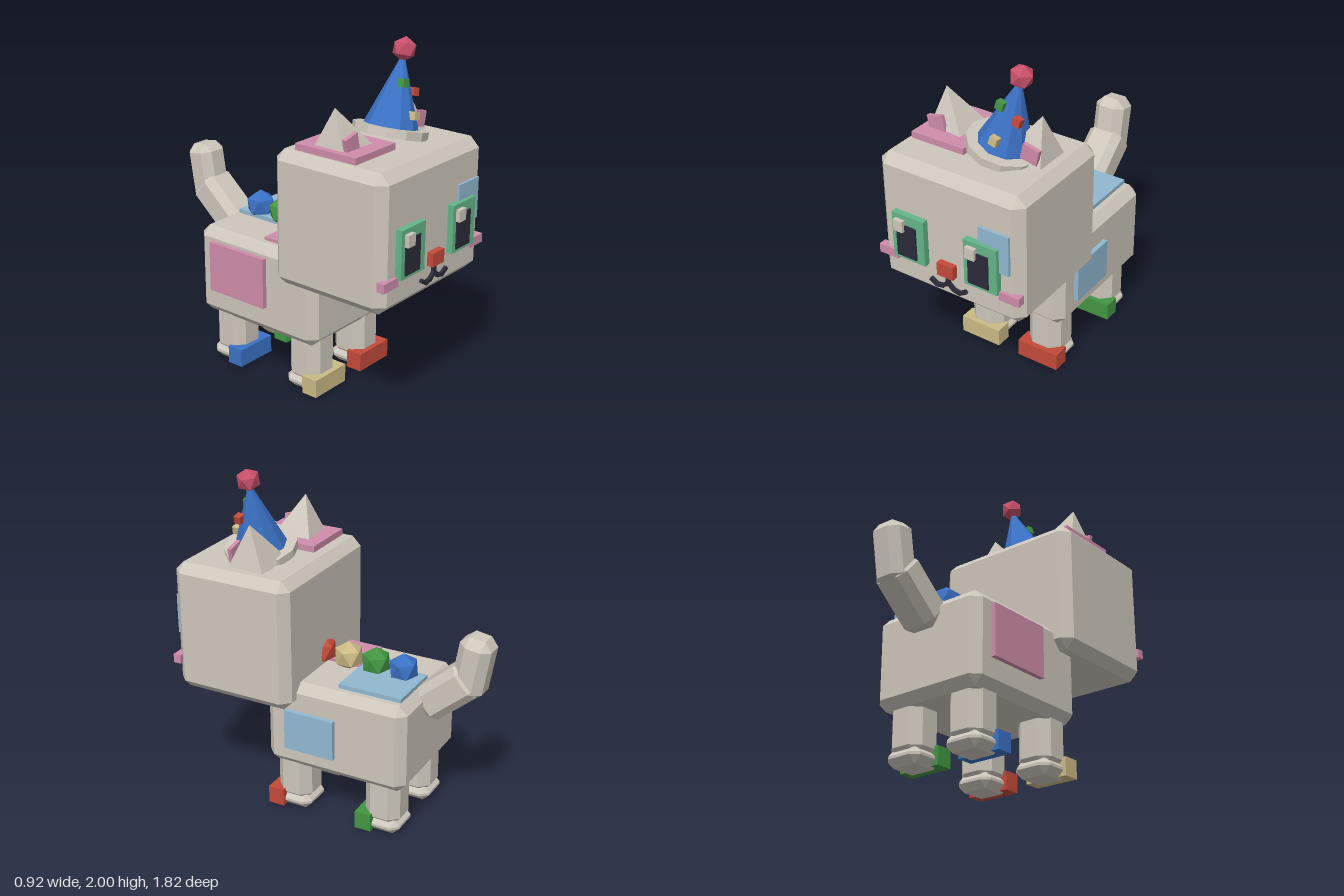
import * as THREE from 'three';
import { ConvexGeometry } from 'three/addons/geometries/ConvexGeometry.js';

function material(name, color) {
  const m = new THREE.MeshStandardMaterial({ color });
  m.name = name;
  m.flatShading = true;
  return m;
}

// Box with flat 45 degree chamfers on all edges
function chamferBox(w, h, d, c) {
  const half = [w / 2, h / 2, d / 2];
  const points = [];
  for (const sx of [-1, 1]) for (const sy of [-1, 1]) for (const sz of [-1, 1]) {
    for (let axis = 0; axis < 3; axis++) {
      const p = half.map((v, i) => (i === axis ? v : v - c));
      points.push(new THREE.Vector3(p[0] * sx, p[1] * sy, p[2] * sz));
    }
  }
  return new ConvexGeometry(points);
}

// Icosahedron standing on a vertex
function bead(r) {
  return new THREE.IcosahedronGeometry(r, 0).rotateZ(-0.5536);
}

export function createModel() {
  const root = new THREE.Group();
  root.name = 'partyCat';

  const fur = material('warm grey', 0xcdc6bb);
  const blue = material('blue', 0x3b72c6);
  const green = material('green', 0x439642);
  const tan = material('tan', 0xcbba85);
  const red = material('red', 0xc44a3a);
  const rose = material('rose', 0xc8506a);
  const pink = material('pink', 0xcf8caa);
  const sky = material('sky blue', 0x90b8d0);
  const mint = material('mint', 0x63b688);
  const dark = material('dark', 0x2b2b3b);

  function add(name, geometry, mat, x, y, z, rz = 0, parent = root) {
    const mesh = new THREE.Mesh(geometry, mat);
    mesh.name = name;
    mesh.position.set(x, y, z);
    mesh.rotation.z = rz;
    parent.add(mesh);
    return mesh;
  }
  // Plain box given by its limits
  function slab(name, mat, x0, x1, y0, y1, z0, z1) {
    return add(name, new THREE.BoxGeometry(x1 - x0, y1 - y0, z1 - z0), mat,
      (x0 + x1) / 2, (y0 + y1) / 2, (z0 + z1) / 2);
  }

  // Body and head
  add('body', chamferBox(0.715, 0.535, 0.87, 0.052), fur, 0, 0.576, -0.115);
  add('head', chamferBox(0.916, 0.77, 0.737, 0.054), fur, 0, 1.085, 0.48);

  // Legs with paws and coloured toes
  const legs = [
    ['frontLeft', 0.203, 0.184, red], ['frontRight', -0.203, 0.184, tan],
    ['backLeft', 0.203, -0.386, green], ['backRight', -0.203, -0.386, blue],
  ];
  for (const [name, x, z, mat] of legs) {
    add(name + 'Leg', chamferBox(0.218, 0.36, 0.218, 0.054), fur, x, 0.225, z);
    add(name + 'Paw', chamferBox(0.23, 0.1, 0.23, 0.042), fur, x, 0.05, z);
    add(name + 'Toes', new THREE.BoxGeometry(0.265, 0.107, 0.1), mat, x, 0.064, z + 0.09);
  }

  // Tail in two bent segments
  const tailBase = add('tailBase', chamferBox(0.22, 0.376, 0.212, 0.045), fur, 0, 0.849, -0.66);
  tailBase.rotation.x = -0.86;
  const tailTip = add('tailTip', chamferBox(0.192, 0.36, 0.186, 0.048), fur, 0, 1.024, -0.796);
  tailTip.rotation.x = -0.165;

  // Coat patches
  slab('backPatchBlue', sky, -0.06, 0.275, 0.83, 0.868, -0.495, -0.11);
  slab('backPatchPink', pink, -0.28, -0.005, 0.83, 0.862, -0.1, 0.2);
  slab('leftPatch', sky, 0.34, 0.385, 0.44, 0.68, -0.13, 0.18);
  slab('rightPatch', pink, -0.386, -0.34, 0.475, 0.775, -0.43, -0.02);
  slab('crownPatch', pink, -0.39, -0.052, 1.45, 1.507, 0.225, 0.625);
  slab('browPatch', sky, 0.207, 0.395, 1.02, 1.255, 0.835, 0.864);

  // Beads along the back
  [blue, green, tan, red].forEach((mat, i) => {
    add('backBead', bead(0.09), mat, 0, 0.91, -0.376 + i * 0.1735);
  });

  // Eyes; the offset keeps both glints on the same side
  for (const [side, x, px] of [['right', -0.234, -0.244], ['left', 0.231, 0.22]]) {
    slab(side + 'Iris', mint, x - 0.104, x + 0.104, 0.89, 1.165, 0.83, 0.885);
    slab(side + 'Pupil', dark, px - 0.064, px + 0.064, 0.91, 1.108, 0.86, 0.893);
    slab(side + 'Glint', fur, px - 0.068, px - 0.008, 1.07, 1.138, 0.87, 0.91);
  }

  // Nose and mouth
  slab('nose', red, -0.052, 0.052, 0.872, 0.95, 0.83, 0.886);
  slab('lipLine', dark, -0.011, 0.011, 0.805, 0.875, 0.835, 0.868);
  const smile = [[0, 0.825], [0.035, 0.793], [0.075, 0.785], [0.112, 0.808]];
  for (const s of [-1, 1]) {
    for (let i = 0; i < 3; i++) {
      const [ax, ay] = smile[i], [bx, by] = smile[i + 1];
      const length = Math.hypot(bx - ax, by - ay) + 0.012;
      add('smile', new THREE.BoxGeometry(length, 0.022, 0.033), dark,
        s * (ax + bx) / 2, (ay + by) / 2, 0.851, s * Math.atan2(by - ay, bx - ax));
    }
  }

  // Cheeks and ears
  for (const [side, s] of [['left', 1], ['right', -1]]) {
    add(side + 'Cheek', new THREE.BoxGeometry(0.125, 0.052, 0.047), pink, s * 0.394, 0.88, 0.843);
    const ear = new THREE.ConeGeometry(0.168, 0.245, 4).rotateY(Math.PI / 4);
    add(side + 'Ear', ear, fur, s * 0.277, 1.595, 0.42, -s * 0.22);
    add(side + 'InnerEar', new THREE.BoxGeometry(0.1, 0.09, 0.025), pink,
      s * 0.298, 1.54, 0.522, -s * 0.22);
  }

  // Tilted party hat
  const hat = new THREE.Group();
  hat.name = 'partyHat';
  hat.position.set(0.103, 1.51, 0.475);
  hat.rotation.z = -0.256;
  root.add(hat);
  add('hatBrim', new THREE.CylinderGeometry(0.208, 0.208, 0.046, 12), fur, 0, 0, 0, 0, hat);
  add('hatCone', new THREE.ConeGeometry(0.152, 0.41, 10), blue, 0, 0.222, 0, 0, hat);
  add('hatPompom', bead(0.069), rose, 0, 0.438, 0, 0, hat);

  // Confetti on the hat
  const confetti = [[green, 0.128, 1.775, 0.535], [red, 0.228, 1.708, 0.533], [tan, 0.136, 1.606, 0.607]];
  for (const [mat, x, y, z] of confetti) {
    const dot = add('confetti', new THREE.BoxGeometry(0.046, 0.046, 0.04), mat, x, y, z, -0.256);
    dot.rotation.x = -0.1;
  }

  return root;
}
